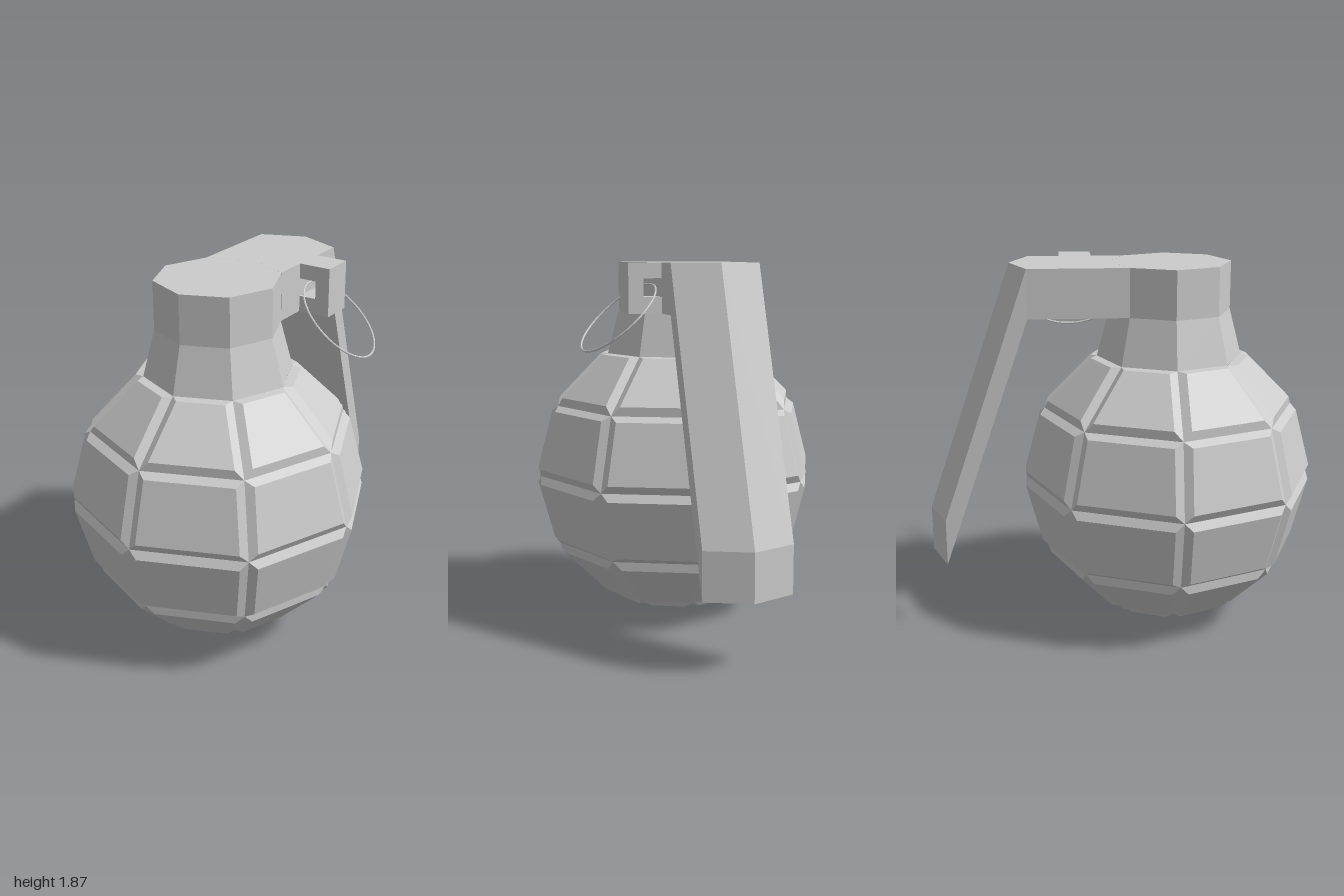
import * as THREE from 'three';

const material = new THREE.MeshStandardMaterial({ color: 0xcccccc, flatShading: true });

function addMesh(parent, name, geometry) {
  const mesh = new THREE.Mesh(geometry, material);
  mesh.name = name;
  parent.add(mesh);
  return mesh;
}

// Turns convex faces (lists of Vector3, counter-clockwise from outside) into a geometry
function facesToGeometry(faces) {
  const positions = [];
  for (const face of faces) {
    for (let i = 1; i < face.length - 1; i++) {
      for (const p of [face[0], face[i], face[i + 1]]) positions.push(p.x, p.y, p.z);
    }
  }
  const geometry = new THREE.BufferGeometry();
  geometry.setAttribute('position', new THREE.Float32BufferAttribute(positions, 3));
  geometry.computeVertexNormals();
  return geometry;
}

// Insets a planar face, raises it along its normal and bevels back to the old edges
function raisedPanel(corners, inset, height) {
  const n = corners.length;
  const normal = corners[1].clone().sub(corners[0])
    .cross(corners[2].clone().sub(corners[0])).normalize();
  const panel = corners.map((p, i) => {
    const a = corners[(i + 1) % n].clone().sub(p).normalize();
    const b = corners[(i + n - 1) % n].clone().sub(p).normalize();
    const sine = a.clone().cross(b).length();
    return p.clone().addScaledVector(a.add(b), inset / sine).addScaledVector(normal, height);
  });
  const bevels = corners.map((p, i) => {
    const j = (i + 1) % n;
    return [p, corners[j], panel[j], panel[i]];
  });
  return [panel, ...bevels];
}

// Eight-sided segmented shell, open under the neck
function shellGeometry() {
  const R = 0.745;
  const point = (row, k) => {
    const phi = row * Math.PI / 6, a = k * Math.PI / 4;
    const r = R * Math.sin(phi);
    return new THREE.Vector3(r * Math.sin(a), 0.75 - R * Math.cos(phi), r * Math.cos(a));
  };
  const faces = [];
  for (let row = 0; row < 5; row++) {
    for (let k = 0; k < 8; k++) {
      const top = [point(row + 1, k + 1), point(row + 1, k)];
      const bottom = row === 0 ? [point(0, 0)] : [point(row, k), point(row, k + 1)];
      faces.push(...raisedPanel([...bottom, ...top], 0.034, 0.031));
    }
  }
  return facesToGeometry(faces);
}

// Lever: a V-backed section carried back from the neck, then down
function leverGeometry() {
  const w = 0.22, v = 0.09;
  const stations = [
    { x: 0, z: 0.03, top: 1.875, bottom: 1.63 },
    { x: 0, z: -0.47, top: 1.875, bottom: 1.63 },
    { x: -0.025, z: -0.91, top: 0.6, bottom: 0.36 },
  ];
  const sections = stations.map(({ x, z, top, bottom }) => {
    const row = (y) => [
      new THREE.Vector3(x + w, y, z),
      new THREE.Vector3(x, y, z - v),
      new THREE.Vector3(x - w, y, z),
    ];
    return [...row(top), ...row(bottom).reverse()];
  });
  const faces = [];
  for (let s = 0; s < sections.length - 1; s++) {
    const a = sections[s], b = sections[s + 1];
    for (let i = 0; i < 6; i++) {
      const j = (i + 1) % 6;
      faces.push([a[i], b[i], b[j], a[j]]);
    }
  }
  // end of the lever
  const e = sections[sections.length - 1];
  faces.push([e[0], e[5], e[4], e[1]], [e[1], e[4], e[3], e[2]]);
  return facesToGeometry(faces);
}

// C-shaped bracket that holds the pull ring
function bracketGeometry() {
  const shape = new THREE.Shape([
    [0.215, 1.63], [0.385, 1.63], [0.385, 1.875], [0.215, 1.875],
    [0.215, 1.8], [0.31, 1.8], [0.31, 1.71], [0.215, 1.71],
  ].map(([x, y]) => new THREE.Vector2(x, y)));
  return new THREE.ExtrudeGeometry(shape, { depth: 0.165, bevelEnabled: false });
}

export function createModel() {
  const group = new THREE.Group();
  group.name = 'segmentedGrenade';

  // Body and neck share one vertical axis
  const body = new THREE.Group();
  body.name = 'body';
  body.position.z = 0.25;
  group.add(body);
  addMesh(body, 'segmentedShell', shellGeometry());

  const flareHeight = 0.235, collarHeight = 0.245;
  addMesh(body, 'neckFlare', new THREE.CylinderGeometry(0.31, 0.372, flareHeight, 8, 1, true))
    .position.y = 1.63 - flareHeight / 2;
  addMesh(body, 'neckCollar', new THREE.CylinderGeometry(0.31, 0.31, collarHeight, 8))
    .position.y = 1.63 + collarHeight / 2;

  addMesh(group, 'lever', leverGeometry());
  addMesh(group, 'ringBracket', bracketGeometry()).position.z = -0.305;

  // Thin pull ring hanging at a slant through the bracket
  const ring = addMesh(group, 'pullRing', new THREE.TorusGeometry(0.235, 0.005, 6, 40));
  const u = new THREE.Vector3(0.74, -0.675, 0).normalize();
  const v = new THREE.Vector3(0.04, 0.044, 0.47).normalize();
  ring.quaternion.setFromRotationMatrix(new THREE.Matrix4().makeBasis(u, v, u.clone().cross(v)));
  ring.position.set(0.415, 1.61, -0.205);

  return group;
}
